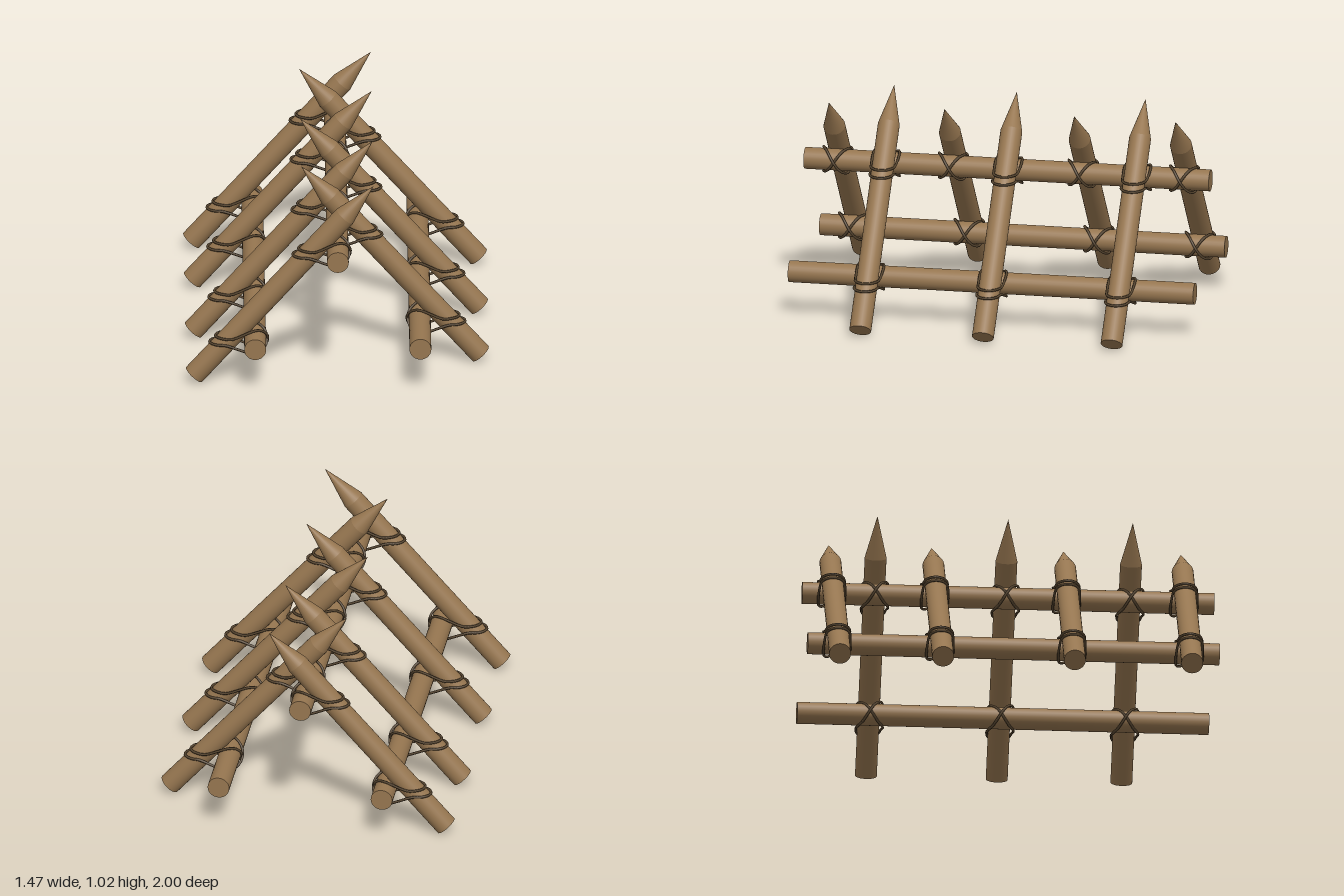
import * as THREE from 'three';

const R = 0.053; // pole radius
const BASE = new THREE.Vector2(0.695, 0.036);
const TIP = new THREE.Vector2(-0.175, 1.02);
const LEAN = Math.atan2(BASE.x - TIP.x, TIP.y - BASE.y);
const LENGTH = BASE.distanceTo(TIP);
const POINT = 0.21; // length of the sharpened end

const wood = new THREE.MeshStandardMaterial({ color: 0x967650 });
const rope = new THREE.MeshStandardMaterial({ color: 0x54432e });

function mesh(name, geometry, material) {
  const m = new THREE.Mesh(geometry, material);
  m.name = name;
  return m;
}

// Horizontal rail running front to back
function makeRail(name, x, y) {
  const rail = mesh(name, new THREE.CylinderGeometry(R, R, 2, 28), wood);
  rail.rotation.x = Math.PI / 2;
  rail.position.set(x, y, 0);
  return rail;
}

// Leaning stake with a sharpened top; side is the x sign of its foot
function makeStake(side, z) {
  const stake = new THREE.Group();
  stake.name = 'stake';
  const shaftLength = LENGTH - POINT;
  const shaft = mesh('stakeShaft', new THREE.CylinderGeometry(R, R, shaftLength, 28), wood);
  shaft.position.y = shaftLength / 2;
  const point = mesh('stakePoint', new THREE.ConeGeometry(R, POINT, 28), wood);
  point.position.y = LENGTH - POINT / 2;
  stake.add(shaft, point);
  stake.position.set(side * BASE.x, BASE.y, z);
  stake.rotation.z = side * LEAN;
  return stake;
}

// Rope path: round the outside of the stake, then crossing on the inside of the rail
function lashingPath(side, rail) {
  const points = [];
  const slope = Math.tan(LEAN);
  const axisAt = (y) => BASE.x - (rail.y + y - BASE.y) * slope - Math.abs(rail.x);
  const r = R + 0.006;
  for (const s of [1, -1]) {
    // half turn over the stake, from -z to +z (s = 1) or back round again lower down
    const h = s > 0 ? 0.016 : -0.016;
    for (let i = 0; i <= 6; i++) {
      const a = -Math.PI / 2 + (Math.PI * i) / 6;
      const u = axisAt(h) + (Math.cos(a) * r) / Math.cos(LEAN);
      points.push(new THREE.Vector3(side * u, h, Math.sin(a) * r));
    }
    // diagonal half turn round the rail, from +z to -z
    for (let i = 0; i <= 6; i++) {
      const a = Math.PI / 2 + (Math.PI * i) / 6;
      const k = r + (s > 0 ? 0.004 : 0);
      points.push(new THREE.Vector3(
        side * Math.cos(a) * k, s * Math.sin(a) * k, 0.06 - 0.02 * i));
    }
  }
  return new THREE.CatmullRomCurve3(points, true, 'centripetal');
}

function makeLashing(side, rail, z) {
  const path = lashingPath(side, rail);
  const lashing = mesh('ropeLashing', new THREE.TubeGeometry(path, 110, 0.0065, 6, true), rope);
  lashing.position.set(rail.x, rail.y, z);
  return lashing;
}

export function createModel() {
  const model = new THREE.Group();
  model.name = 'stakeBarricade';

  // Ridge rail and the two lower rails
  const ridge = new THREE.Vector2(0, 0.68);
  model.add(makeRail('ridgeRail', ridge.x, ridge.y));
  model.add(makeRail('leftRail', 0.4, 0.225), makeRail('rightRail', -0.4, 0.225));

  // Alternating stakes, each lashed to the ridge and to its lower rail
  const rows = [
    { side: -1, zs: [-0.86, -0.36, 0.28, 0.85] },
    { side: 1, zs: [-0.645, -0.01, 0.595] },
  ];
  for (const { side, zs } of rows) {
    const lower = new THREE.Vector2(side * 0.4, 0.225);
    for (const z of zs) {
      model.add(makeStake(side, z));
      model.add(makeLashing(side, ridge, z), makeLashing(side, lower, z));
    }
  }
  return model;
}
